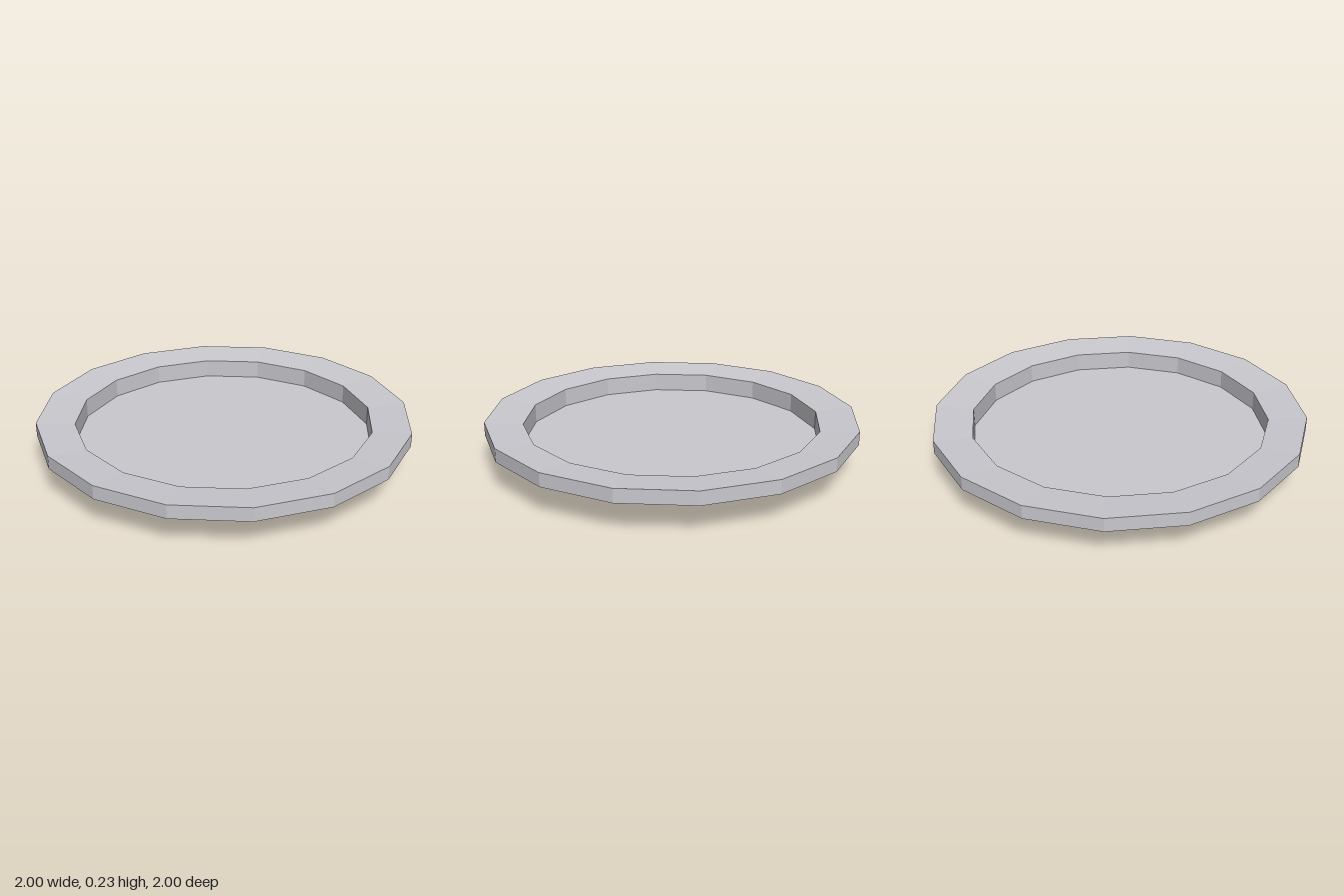
import * as THREE from 'three';

const SIDES = 16;

export function createModel() {
  const model = new THREE.Group();
  model.name = 'plate';
  const grey = new THREE.MeshStandardMaterial({ color: 0xc8c8ce });
  grey.name = 'light grey';

  const add = (name, geometry, y = 0) => {
    const mesh = new THREE.Mesh(geometry, grey);
    mesh.name = name;
    mesh.position.y = y;
    model.add(mesh);
  };

  // faceted ring swept from [radius, height] pairs, running up the outside
  const facetedRing = (profile) => {
    const points = profile.map(([r, y]) => new THREE.Vector2(r, y));
    const geometry = new THREE.LatheGeometry(points, SIDES).toNonIndexed();
    geometry.computeVertexNormals();
    return geometry;
  };

  // round foot, smooth around its side
  const footHeight = 0.055;
  add('foot', new THREE.CylinderGeometry(0.55, 0.55, footHeight, SIDES), footHeight / 2);

  // sloping underside, outer edge, rim leaning slightly inward, and inner wall
  add('underside', facetedRing([[0.55, footHeight], [1, 0.162]]));
  add('outerEdge', facetedRing([[1, 0.162], [1, 0.235]]));
  add('rim', facetedRing([[1, 0.235], [0.797, 0.216]]));
  add('innerWall', facetedRing([[0.797, 0.216], [0.797, 0.115]]));

  // flat floor of the dish
  add('floor', new THREE.CircleGeometry(0.797, SIDES).rotateX(-Math.PI / 2), 0.115);

  return model;
}
